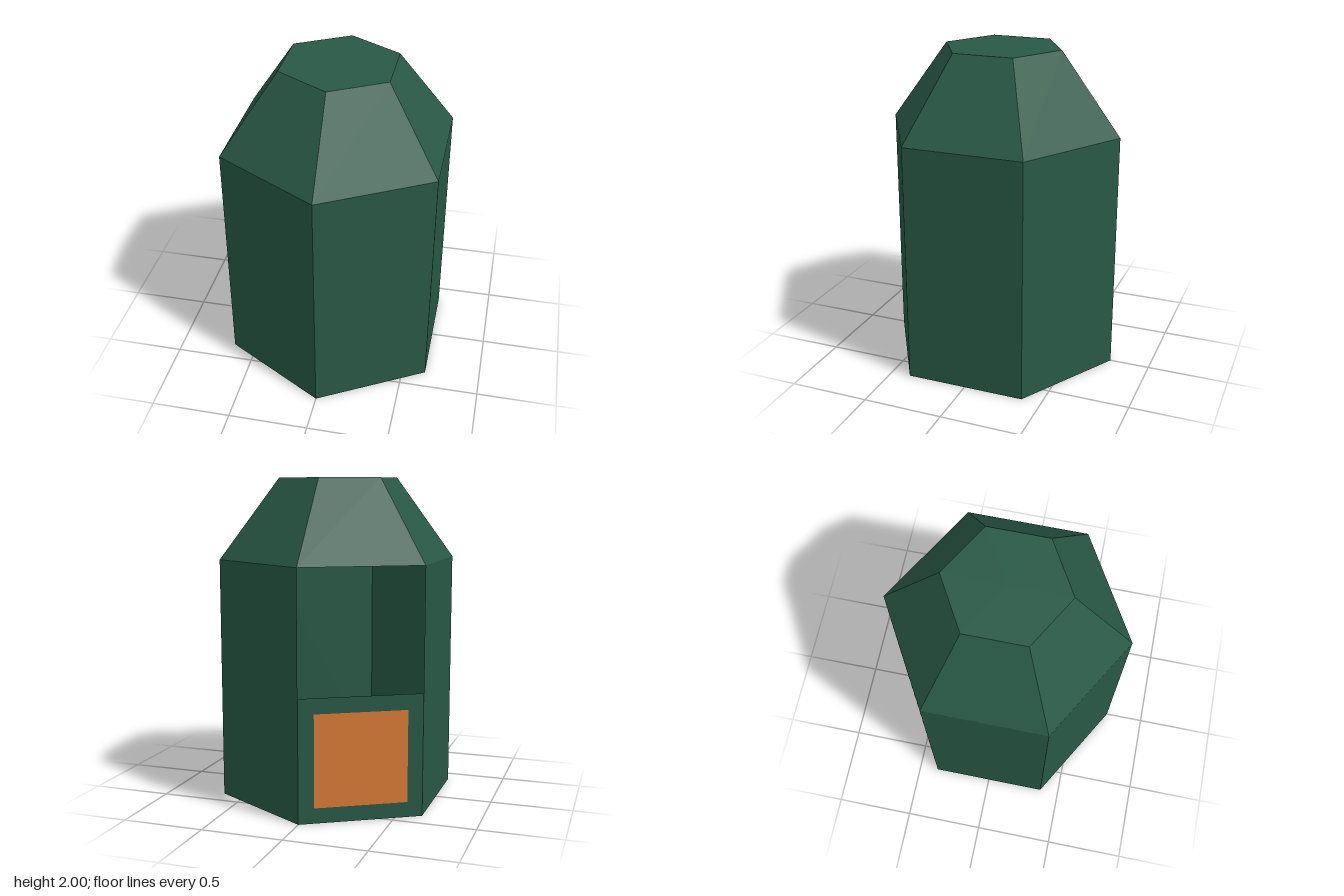
import * as THREE from 'three';

const RADIUS = 0.75, WALL_HEIGHT = 1.5, ROOF_HEIGHT = 0.5, TOP_RADIUS = 0.375;
const SIDE = Math.PI / 3; // angle covered by one of the six sides

export function createModel() {
  const group = new THREE.Group();
  const green = new THREE.MeshStandardMaterial({ color: 0x285846, flatShading: true, side: THREE.DoubleSide });
  green.name = 'dark green';
  const orange = new THREE.MeshStandardMaterial({ color: 0xd67a34, side: THREE.DoubleSide });
  orange.name = 'orange brown';

  const add = (name, geometry, material, y) => {
    const mesh = new THREE.Mesh(geometry, material);
    mesh.name = name;
    mesh.position.y = y;
    group.add(mesh);
    return mesh;
  };

  // Hollow run of hexagon sides, open above and below
  const shell = (top, bottom, height, firstSide, sides) =>
    new THREE.CylinderGeometry(top, bottom, height, sides, 1, true, firstSide * SIDE, sides * SIDE);

  // Five full-height walls; the remaining back side has a half wall below its opening
  add('walls', shell(RADIUS, RADIUS, WALL_HEIGHT, 4, 5), green, WALL_HEIGHT / 2);
  add('halfWall', shell(RADIUS, RADIUS, WALL_HEIGHT / 2, 3, 1), green, WALL_HEIGHT / 4);

  // Sloping roof with a flat top
  add('roofSlopes', shell(TOP_RADIUS, RADIUS, ROOF_HEIGHT, 0, 6), green, WALL_HEIGHT + ROOF_HEIGHT / 2);
  const cap = new THREE.CircleGeometry(TOP_RADIUS, 6, Math.PI / 2).rotateX(-Math.PI / 2);
  add('roofTop', cap, green, WALL_HEIGHT + ROOF_HEIGHT);

  // Square panel on the outside of the half wall
  const panel = add('frontPanel', new THREE.PlaneGeometry(0.5625, 0.5625), orange, WALL_HEIGHT / 4);
  const angle = 3.5 * SIDE;
  const distance = RADIUS * Math.cos(SIDE / 2) + 0.004;
  panel.position.x = Math.sin(angle) * distance;
  panel.position.z = Math.cos(angle) * distance;
  panel.rotation.y = angle;

  return group;
}
